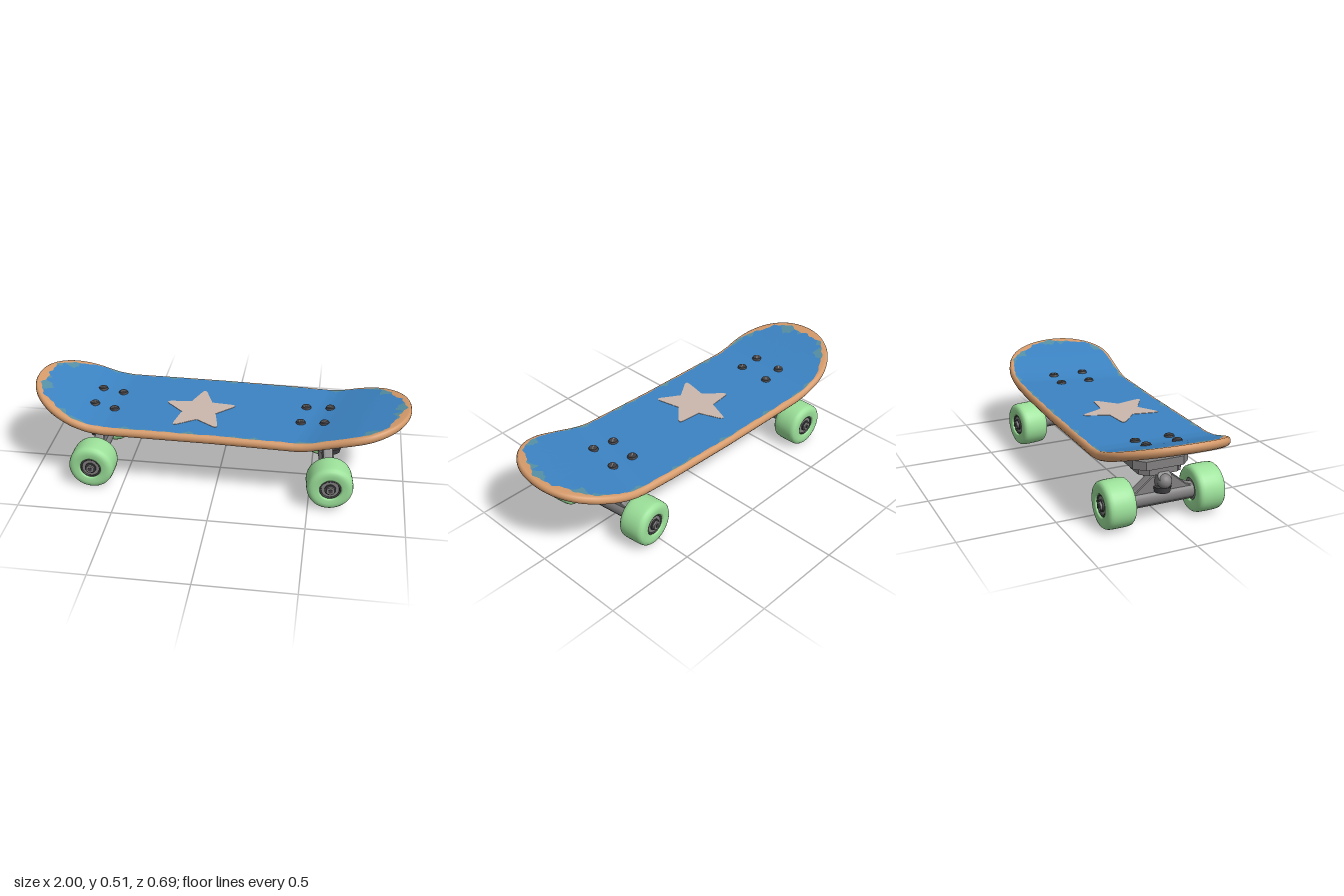
import * as THREE from 'three';

const mat = (name, color) => {
  const m = new THREE.MeshStandardMaterial({ color });
  m.name = name;
  return m;
};
const BLUE = mat('blue paint', 0x3c84c4);
const WOOD = mat('bare wood', 0xd69b6b);
const WORN = mat('worn paint', 0x5590a6);
const STAR = mat('star beige', 0xccb7ac);
const GREEN = mat('wheel green', 0x9ce19a);
const METAL = mat('truck grey', 0x828080);
const DARK = mat('dark steel', 0x434144);

function add(parent, name, geometry, material, x = 0, y = 0, z = 0) {
  const mesh = new THREE.Mesh(geometry, material);
  mesh.name = name;
  mesh.position.set(x, y, z);
  parent.add(mesh);
  return mesh;
}

// Linear interpolation through [input, output] pairs
function interp(table, v) {
  if (v <= table[0][0]) return table[0][1];
  for (let i = 1; i < table.length; i++) {
    const [a, fa] = table[i - 1], [b, fb] = table[i];
    if (v <= b) return fa + ((fb - fa) * (v - a)) / (b - a);
  }
  return table[table.length - 1][1];
}

// Deck shape: both ends kick up, the nose is slightly twisted
const NOSE = [[0.5, 0], [0.55, 0.005], [0.6, 0.016], [0.675, 0.037], [0.8, 0.07], [0.93, 0.099], [1.02, 0.119]];
const TAIL = [[0.56, 0], [0.64, 0.01], [0.72, 0.034], [0.85, 0.08], [1, 0.135]];
const MIDLINE = [[-0.8, -0.025], [0, -0.015], [0.4, 0], [0.8, 0.03]];
const lift = (x, z) => (x > 0 ? interp(NOSE, x + 0.27 * z) : interp(TAIL, -x - 0.06 * z));
const HALF = 0.316, SPINE = 0.684, TOP = 0.377, BOTTOM = 0.33;

// Closed outline: spine point plus outward direction
function deckOutline() {
  const list = [], caps = 60, sides = 90, e = 2 / 2.1;
  for (const s of [1, -1]) {
    for (let i = 0; i < caps; i++) {
      const a = -Math.PI / 2 + (Math.PI * i) / caps;
      list.push([s * SPINE, s * Math.abs(Math.cos(a)) ** e, s * Math.sign(a) * Math.abs(Math.sin(a)) ** e]);
    }
    for (let i = 0; i < sides; i++) list.push([s * SPINE * (1 - (2 * i) / sides), 0, s]);
  }
  return list;
}

// Skin over rows; each row gives [inset, height] for outline point i
function deckSkin(outline, rows) {
  const pos = [], index = [], n = outline.length;
  for (const row of rows) {
    outline.forEach(([bx, ux, uz], i) => {
      const [d, y] = row(i);
      const x = bx + (HALF - d) * ux;
      const z = (HALF - d) * uz + interp(MIDLINE, x);
      pos.push(x, y + lift(x, z), z);
    });
  }
  for (let r = 0; r + 1 < rows.length; r++) {
    for (let i = 0; i < n; i++) {
      const a = r * n + i, b = r * n + ((i + 1) % n);
      index.push(a, a + n, b, b, a + n, b + n);
    }
  }
  const g = new THREE.BufferGeometry();
  g.setAttribute('position', new THREE.Float32BufferAttribute(pos, 3));
  g.setIndex(index);
  g.computeVertexNormals();
  return g;
}

function buildDeck(root) {
  const deck = new THREE.Group();
  deck.name = 'deck';
  root.add(deck);
  const outline = deckOutline();
  // Ragged paint edge, wider and rougher at the ends
  const wave = (i, p) => Math.sin(i * 0.31 + p) * 0.5 + Math.sin(i * 0.83 + 2 * p) * 0.3 + Math.sin(i * 1.7 + p) * 0.2;
  const end = (i) => Math.abs(outline[i][1]);
  const chip = (i) => 0.016 + 0.004 * (1 + wave(i, 1)) + end(i) * 0.022 * (1 + wave(i, 2));
  const wear = (i) => chip(i) + Math.max(0, wave(i, 4)) * (0.026 + 0.065 * end(i));
  const under = (i) => 0.02 + 0.007 * (1 + wave(i, 3)) + 0.006 * end(i);
  const fill = (edge, y, t) => (i) => [edge(i) + (HALF - edge(i)) * t, y];
  const steps = [0, 0.1, 0.25, 0.4, 0.55, 0.7, 0.85, 1];

  add(deck, 'topPaint', deckSkin(outline, steps.map((t) => fill(wear, TOP, t))), BLUE);
  add(deck, 'wornPaint', deckSkin(outline, [fill(chip, TOP, 0), fill(wear, TOP, 0)]), WORN);
  add(deck, 'bottomPaint', deckSkin(outline, [...steps].reverse().map((t) => fill(under, BOTTOM, t))), BLUE);
  const rim = [[0.017, BOTTOM], [0.007, 0.335], [0.001, 0.345], [0, 0.354], [0.001, 0.362], [0.006, 0.372], [0.014, TOP]];
  add(deck, 'woodRim', deckSkin(outline, [fill(under, BOTTOM, 0), ...rim.map((p) => () => p), fill(chip, TOP, 0)]), WOOD);

  // Star on both faces, tips softened by curves
  const shape = new THREE.Shape();
  const at = (k, r) => [Math.sin((k * Math.PI) / 5) * r * 0.92, Math.cos((k * Math.PI) / 5) * r];
  shape.moveTo(...at(-1, 0.104));
  for (let k = 0; k < 10; k += 2) {
    shape.lineTo(...at(k - 0.14, 0.19));
    shape.quadraticCurveTo(...at(k, 0.226), ...at(k + 0.14, 0.19));
    shape.lineTo(...at(k + 1, 0.104));
  }
  const star = new THREE.ExtrudeGeometry(shape, { depth: 0.004, bevelEnabled: false });
  star.rotateX(-Math.PI / 2);
  add(deck, 'topStar', star, STAR, -0.108, TOP - 0.002, 0.028);
  add(deck, 'bottomStar', star, STAR, -0.03, BOTTOM - 0.002, 0.02);

  // Mounting screws with a slotted head, nuts below
  const screws = [[-0.665, -0.1], [-0.553, -0.102], [-0.67, 0.065], [-0.56, 0.08],
    [0.455, -0.075], [0.584, -0.07], [0.435, 0.088], [0.56, 0.1]];
  for (const [x, z] of screws) {
    const y = TOP + lift(x, z);
    add(deck, 'screwHead', new THREE.CylinderGeometry(0.022, 0.027, 0.012, 16), DARK, x, y + 0.004, z);
    add(deck, 'screwSlot', new THREE.BoxGeometry(0.03, 0.003, 0.006), METAL, x, y + 0.0105, z).rotation.y = 0.6;
    add(deck, 'screwNut', new THREE.CylinderGeometry(0.022, 0.022, 0.04, 6), METAL, x, 0.268, z);
  }
}

const axial = (r1, r2, len, n) => new THREE.CylinderGeometry(r1, r2, len, n).rotateX(Math.PI / 2);

function buildWheel(parent, z, side) {
  const wheel = new THREE.Group();
  wheel.name = 'wheel';
  wheel.position.z = z;
  parent.add(wheel);
  const half = [[0.121, 0.02], [0.12, 0.045], [0.117, 0.06], [0.109, 0.069], [0.097, 0.074], [0.085, 0.075], [0.064, 0.074], [0.057, 0.07], [0.053, 0.05]];
  const profile = [...[...half].reverse().map(([r, h]) => [r, -h]), ...half].map(([r, h]) => new THREE.Vector2(r, h));
  add(wheel, 'tyre', new THREE.LatheGeometry(profile, 40).rotateX(Math.PI / 2), GREEN);
  add(wheel, 'bearing', axial(0.055, 0.055, 0.124, 28), METAL);
  add(wheel, 'bearingRing', new THREE.TorusGeometry(0.051, 0.005, 8, 28), DARK, 0, 0, side * 0.062);
  add(wheel, 'washer', axial(0.03, 0.03, 0.01, 20), DARK, 0, 0, side * 0.064);
  add(wheel, 'axleNut', axial(0.024, 0.024, 0.022, 6), METAL, 0, 0, side * 0.069);
  add(wheel, 'axleTip', axial(0.011, 0.011, 0.02, 12), DARK, 0, 0, side * 0.073);
}

// Truck in local space: axle along z at the origin, +x points away from the deck centre
function buildTruck(root, name, pos, yaw, outward, wheelZ, plateX) {
  const truck = new THREE.Group();
  truck.name = name;
  truck.position.set(...pos);
  truck.rotation.y = outward > 0 ? yaw : yaw + Math.PI;
  root.add(truck);
  const deckGap = BOTTOM - pos[1];

  // Base plate: chamfered slab with a smaller block below
  const slab = (hx, hz, c, h) => {
    const s = new THREE.Shape();
    s.setFromPoints([[hx - c, -hz], [hx, c - hz], [hx, hz - c], [hx - c, hz], [c - hx, hz], [-hx, hz - c], [-hx, c - hz], [c - hx, -hz]]
      .map((p) => new THREE.Vector2(...p)));
    return new THREE.ExtrudeGeometry(s, { depth: h, bevelEnabled: false }).rotateX(-Math.PI / 2);
  };
  add(truck, 'basePlate', slab(0.112, 0.15, 0.05, 0.045), METAL, plateX, deckGap - 0.043);
  add(truck, 'baseBlock', slab(0.085, 0.115, 0.04, 0.05), METAL, plateX + 0.01, deckGap - 0.08);

  // Hanger: gusset rising from the axle tube
  const g = new THREE.Shape();
  g.setFromPoints([[-0.17, -0.035], [0.17, -0.035], [0.17, 0.03], [0.13, 0.045], [0.05, 0.112], [-0.05, 0.112], [-0.13, 0.045], [-0.17, 0.03]]
    .map((p) => new THREE.Vector2(...p)));
  const gusset = new THREE.ExtrudeGeometry(g, { depth: 0.03, bevelThickness: 0.012, bevelSize: 0.006, bevelSegments: 2 });
  add(truck, 'hanger', gusset.translate(0, 0, -0.015).rotateY(Math.PI / 2), METAL);
  add(truck, 'axleTube', axial(0.042, 0.042, 2 * wheelZ - 0.13, 20), METAL);

  // Outer pivot with rounded cap and dark bushing
  const pivot = add(truck, 'pivot', new THREE.CylinderGeometry(0.036, 0.042, 0.09, 18), METAL, 0.025, 0.092);
  pivot.rotation.z = -0.9;
  add(truck, 'pivotCap', new THREE.SphereGeometry(0.037, 18, 12), METAL, 0.055, 0.094);
  add(truck, 'pivotBushing', new THREE.CylinderGeometry(0.046, 0.04, 0.03, 18), DARK, 0.033, 0.05);

  // Inner kingpin stack leaning toward the deck centre
  const kingpin = new THREE.Group();
  kingpin.name = 'kingpin';
  kingpin.position.set(-0.075, 0.105, 0);
  kingpin.rotation.z = -0.6;
  truck.add(kingpin);
  add(kingpin, 'kingpinBolt', new THREE.CylinderGeometry(0.016, 0.016, 0.15, 12), METAL);
  add(kingpin, 'upperBushing', new THREE.CylinderGeometry(0.044, 0.038, 0.034, 18), DARK, 0, 0.03);
  add(kingpin, 'yoke', new THREE.CylinderGeometry(0.05, 0.05, 0.022, 18), METAL);
  add(kingpin, 'lowerBushing', new THREE.CylinderGeometry(0.036, 0.04, 0.03, 18), METAL, 0, -0.026);
  add(kingpin, 'kingpinNut', new THREE.CylinderGeometry(0.027, 0.027, 0.024, 6), METAL, 0, -0.052);
  add(truck, 'yokeArm', new THREE.BoxGeometry(0.08, 0.04, 0.07), METAL, -0.035, 0.07).rotation.z = -0.6;

  for (const s of [1, -1]) buildWheel(truck, s * wheelZ, s);
}

export function createModel() {
  const root = new THREE.Group();
  root.name = 'skateboard';
  buildDeck(root);
  buildTruck(root, 'noseTruck', [0.577, 0.13, 0.003], 0.11, 1, 0.257, -0.037);
  buildTruck(root, 'tailTruck', [-0.655, 0.122, -0.022], -0.01, -1, 0.24, -0.05);
  return root;
}
